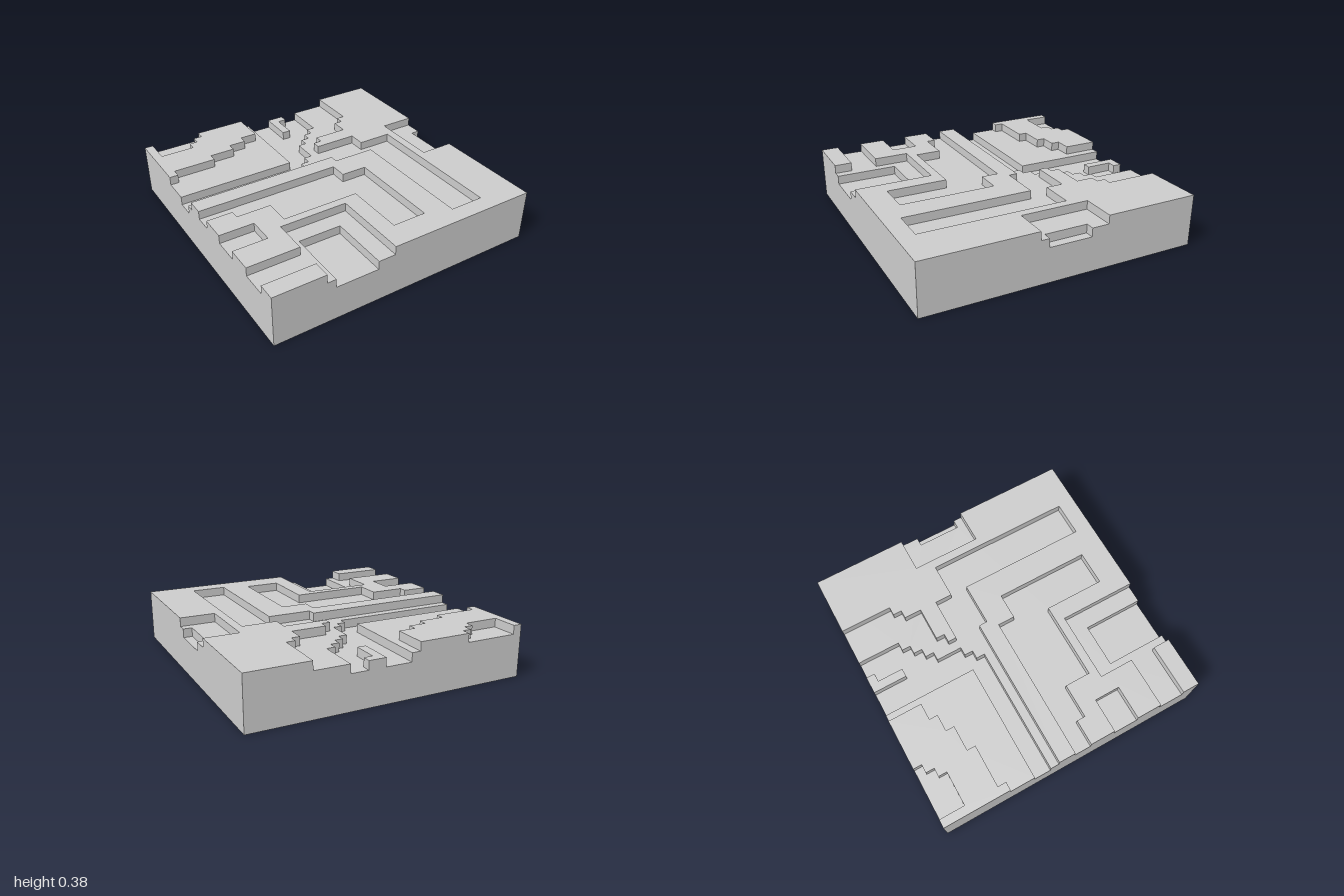
import * as THREE from 'three';

// The tile is laid out on a 32 x 32 cell plan; terraces are one cell high.
const CELL = 1 / 16;
const material = new THREE.MeshStandardMaterial({ color: 0xcccccc, flatShading: true });

// Extrudes a plan outline (pairs of x, z in cells) between two levels.
function terrace(name, outline, bottom, top) {
  const points = [];
  for (let i = 0; i < outline.length; i += 2) {
    points.push(new THREE.Vector2(outline[i] * CELL - 1, 1 - outline[i + 1] * CELL));
  }
  const geometry = new THREE.ExtrudeGeometry(new THREE.Shape(points), {
    depth: (top - bottom) * CELL,
    bevelEnabled: false,
  });
  geometry.rotateX(-Math.PI / 2);
  geometry.translate(0, bottom * CELL, 0);
  const mesh = new THREE.Mesh(geometry, material);
  mesh.name = name;
  return mesh;
}

export function createModel() {
  const model = new THREE.Group();
  model.name = 'terrainTile';

  // Solid ground; its top is the riverbed and the deepest hollows
  model.add(terrace('groundBlock', [0, 0, 32, 0, 32, 32, 0, 32], 0, 4));

  // Middle terraces: river banks and an islet
  model.add(terrace('backBank', [0, 0, 14, 0, 14, 11, 0, 11], 4, 5));
  model.add(terrace('riverIslet', [17, 0, 19, 0, 19, 1, 18, 1, 18, 4, 17, 4], 4, 5));
  model.add(terrace('mainBank', [
    21, 0, 32, 0, 32, 13, 31, 13, 31, 18, 32, 18, 32, 32, // side hollow
    12, 32, 12, 25, 7, 25, 7, 32, 0, 32, // front hollow
    0, 13, 15, 13, 15, 12, 16, 12, 16, 11, 17, 11, 17, 8, // stepped river edge
    18, 8, 18, 7, 19, 7, 19, 6, 20, 6, 20, 5, 21, 5,
  ], 4, 5));

  // Upper terraces
  model.add(terrace('backPlateau', [
    0, 0, 1, 0, 1, 3, 5, 3, 5, 2, 6, 2, 6, 1, 7, 1, 7, 0, // pond
    13, 0, 13, 4, 11, 4, 11, 5, 9, 5, 9, 6, 6, 6, 6, 7, 1, 7, 1, 8, 0, 8,
  ], 5, 6));
  model.add(terrace('mainPlateau', [
    25, 0, 32, 0, 32, 11, 28, 11, 28, 19, 32, 19, 32, 32, // side inlet
    14, 32, 14, 23, 6, 23, 6, 27, 0, 27, // front inlet
    0, 24, 4, 24, 4, 21, 0, 21, // small notch
    0, 18, 3, 18, 3, 19, 7, 19, 7, 22, 16, 22, 16, 29, // bent trench
    20, 29, 20, 18, 17, 18, 17, 16, 0, 16,
    0, 14, 18, 14, 18, 15, 23, 15, 23, 30, 27, 30, 27, 13, // long channel
    23, 13, 23, 11, 18, 11, 18, 10, 19, 10, 19, 9, 23, 9, 23, 7, 24, 7, 24, 6, 25, 6,
  ], 5, 6));
  model.add(terrace('cornerPlateau', [0, 30, 6, 30, 6, 32, 0, 32], 5, 6));

  return model;
}
